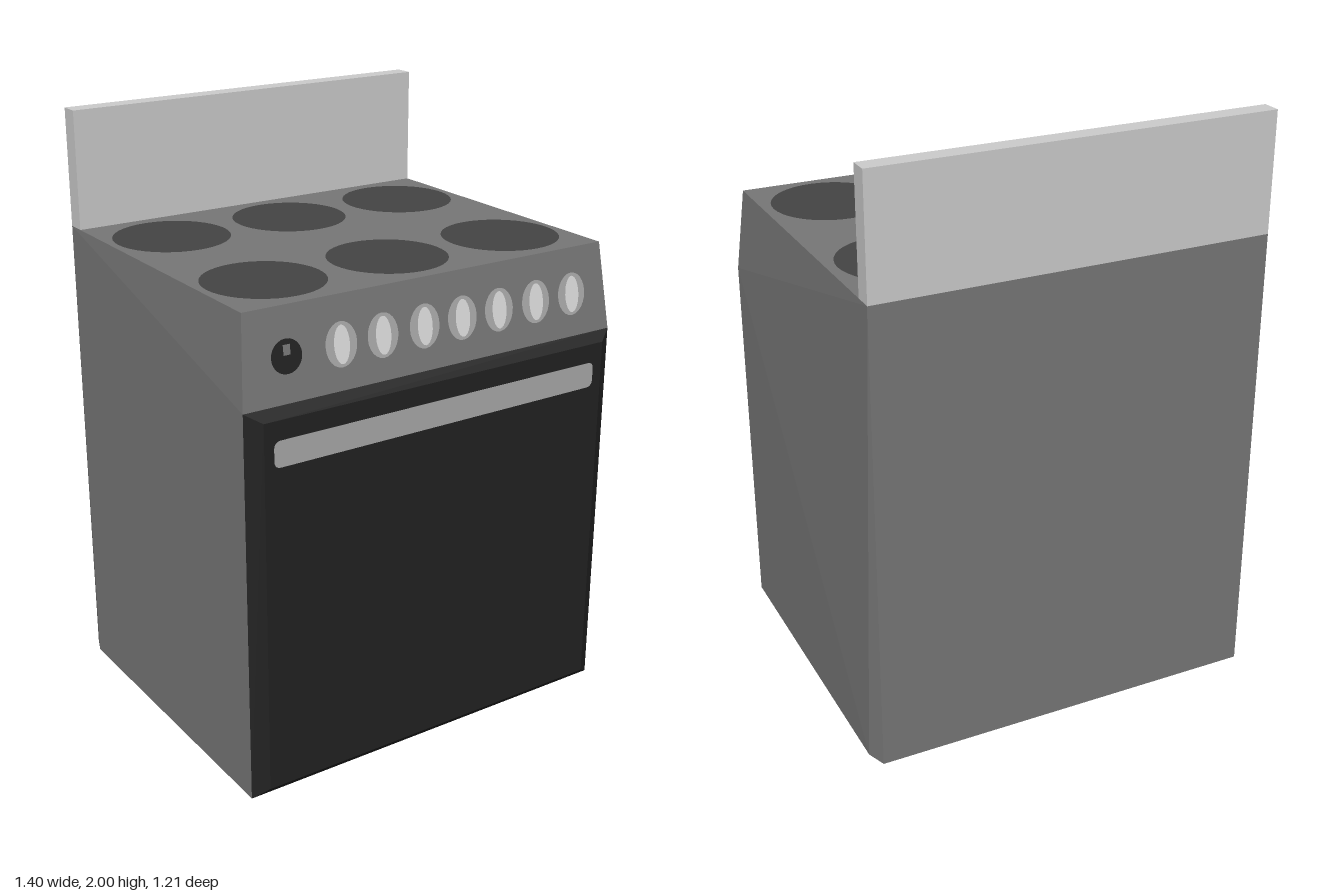
import * as THREE from 'three';
import { ConvexGeometry } from 'three/addons/geometries/ConvexGeometry.js';

const material = (name, color) => new THREE.MeshStandardMaterial({ name, color });

export function createModel() {
  const steel = material('grey steel', 0x777777);
  const guard = material('light steel', 0xcccccc);
  const black = material('black enamel', 0x222222);
  const plate = material('burner grey', 0x444444);
  const handleGrey = material('handle grey', 0xaaaaaa);
  const highlight = material('knob white', 0xdddddd);

  const stove = new THREE.Group();
  stove.name = 'stove';

  function add(parent, name, geometry, mat, x = 0, y = 0, z = 0) {
    const mesh = new THREE.Mesh(geometry, mat);
    mesh.name = name;
    mesh.position.set(x, y, z);
    parent.add(mesh);
    return mesh;
  }

  // Convex solid from the corners of its +x half
  function mirroredHull(corners) {
    const points = [];
    for (const [x, y, z] of corners) {
      points.push(new THREE.Vector3(x, y, z), new THREE.Vector3(-x, y, z));
    }
    return new ConvexGeometry(points);
  }

  // Cabinet with sloping control panel and slightly tapered sides
  add(stove, 'cabinet', mirroredHull([
    [0.675, 1.6, -0.6], [0.675, 1.6, 0.53],
    [0.7, 1.31, 0.57], [0.7, 0, 0.57],
    [0.7, 0, -0.535], [0.675, 0, -0.6],
  ]), steel);

  // Oven door with bevelled edges
  add(stove, 'ovenDoor', mirroredHull([
    [0.7, 0, 0.57], [0.7, 1.31, 0.57],
    [0.65, 0.035, 0.602], [0.65, 1.28, 0.602],
  ]), black);

  // Upright guard along the back
  add(stove, 'backGuard', new THREE.BoxGeometry(1.35, 0.4, 0.065), guard, 0, 1.8, -0.5675);

  // Flat door handle with rounded ends
  const w = 0.615, h = 0.043, r = 0.025;
  const outline = new THREE.Shape();
  outline.moveTo(-w + r, -h);
  outline.lineTo(w - r, -h);
  outline.quadraticCurveTo(w, -h, w, -h + r);
  outline.lineTo(w, h - r);
  outline.quadraticCurveTo(w, h, w - r, h);
  outline.lineTo(-w + r, h);
  outline.quadraticCurveTo(-w, h, -w, h - r);
  outline.lineTo(-w, -h + r);
  outline.quadraticCurveTo(-w, -h, -w + r, -h);
  add(stove, 'doorHandle', new THREE.ShapeGeometry(outline), handleGrey, -0.003, 1.175, 0.605);

  // Six burners on the hob
  const burner = new THREE.CircleGeometry(0.195, 40).rotateX(-Math.PI / 2);
  for (const z of [-0.29, 0.295]) {
    for (const x of [-0.46, -0.005, 0.45]) add(stove, 'burner', burner, plate, x, 1.603, z);
  }

  // Controls lie on the sloping panel
  const controls = new THREE.Group();
  controls.name = 'controls';
  controls.position.set(0, 1.45, 0.5507);
  controls.rotation.x = -Math.atan2(0.04, 0.29);
  stove.add(controls);

  const disc = new THREE.CircleGeometry(1, 24);
  for (const x of [-0.35, -0.2, -0.045, 0.1, 0.245, 0.395, 0.545]) {
    add(controls, 'knob', disc, handleGrey, x, 0, 0.003).scale.set(0.056, 0.07, 1);
    add(controls, 'knobGrip', disc, highlight, x, 0, 0.006).scale.set(0.028, 0.06, 1);
  }
  add(controls, 'ovenKnob', disc, black, -0.54, 0, 0.003).scale.set(0.053, 0.053, 1);
  add(controls, 'ovenKnobMark', new THREE.PlaneGeometry(0.024, 0.032), steel, -0.54, 0.02, 0.006);

  return stove;
}
